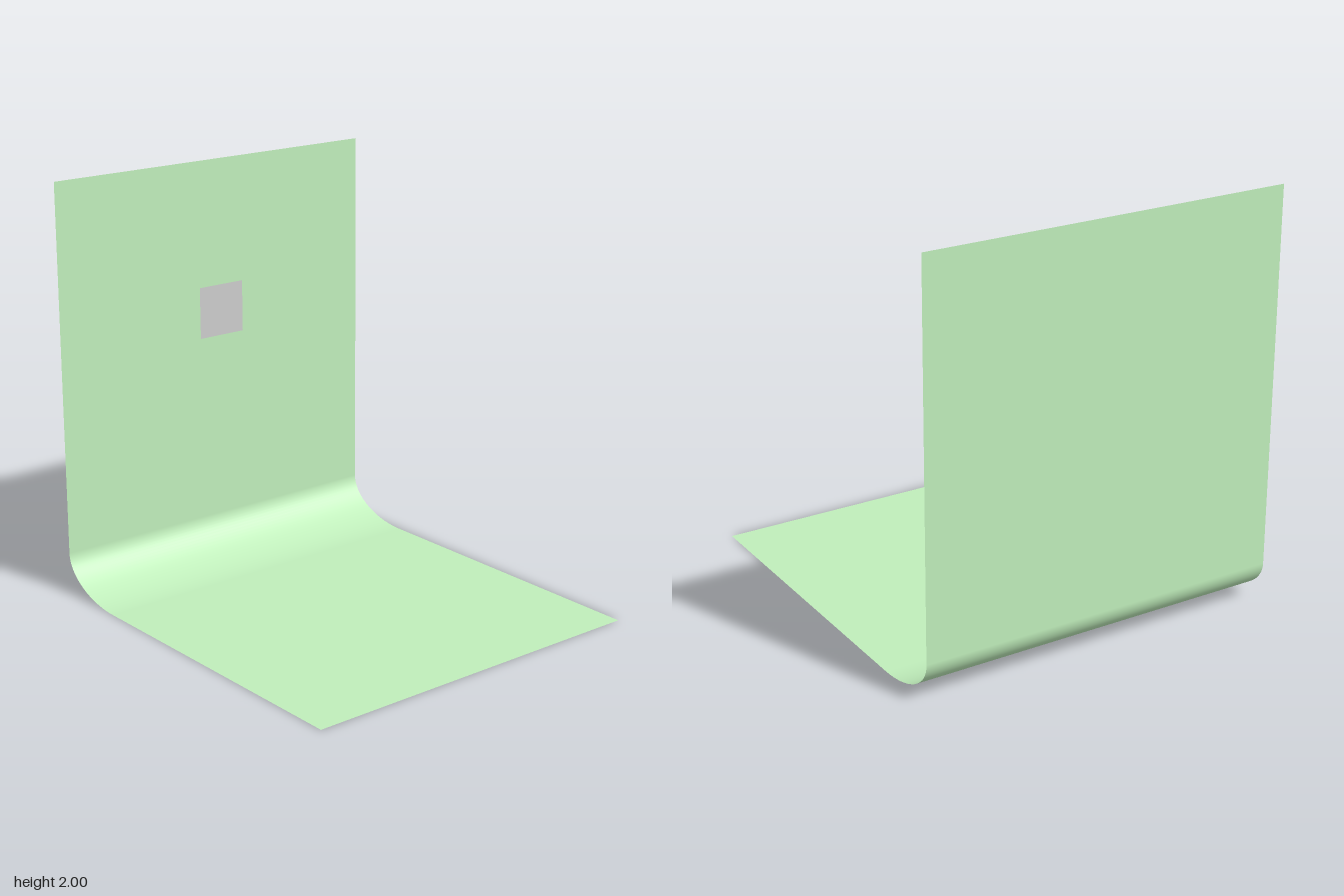
import * as THREE from 'three';

const WIDTH = 1.78, HEIGHT = 2, HALF_DEPTH = 0.955;
const BEND_Y = 0.2, BEND_Z = 0.36, BEND_STEPS = 24;

// Side profile as [y, z], from the top of the wall, round the bend, to the front of the floor
function sweepProfile() {
  const points = [[HEIGHT, -HALF_DEPTH]];
  for (let i = 0; i <= BEND_STEPS; i++) {
    const a = (i / BEND_STEPS) * Math.PI / 2;
    points.push([BEND_Y * (1 - Math.sin(a)), -HALF_DEPTH + BEND_Z * (1 - Math.cos(a))]);
  }
  points.push([0, HALF_DEPTH]);
  return points;
}

export function createModel() {
  const group = new THREE.Group();
  group.name = 'studioBackdrop';

  // Wall and floor: one sheet whose rows follow the profile
  const profile = sweepProfile();
  const sheet = new THREE.PlaneGeometry(WIDTH, HEIGHT, 1, profile.length - 1);
  const pos = sheet.attributes.position;
  for (let i = 0; i < pos.count; i++) {
    const [y, z] = profile[Math.floor(i / 2)];
    pos.setXYZ(i, pos.getX(i), y, z);
  }
  sheet.computeVertexNormals();
  const backdrop = new THREE.Mesh(
    sheet,
    new THREE.MeshStandardMaterial({ color: 0xc0eebb, side: THREE.DoubleSide })
  );
  backdrop.name = 'backdropSheet';
  group.add(backdrop);

  // Small square panel just in front of the wall
  const panel = new THREE.Mesh(
    new THREE.PlaneGeometry(0.255, 0.255),
    new THREE.MeshStandardMaterial({ color: 0xcccccc, side: THREE.DoubleSide })
  );
  panel.name = 'wallPanel';
  panel.position.set(0.027, 1.253, -0.945);
  group.add(panel);

  return group;
}
